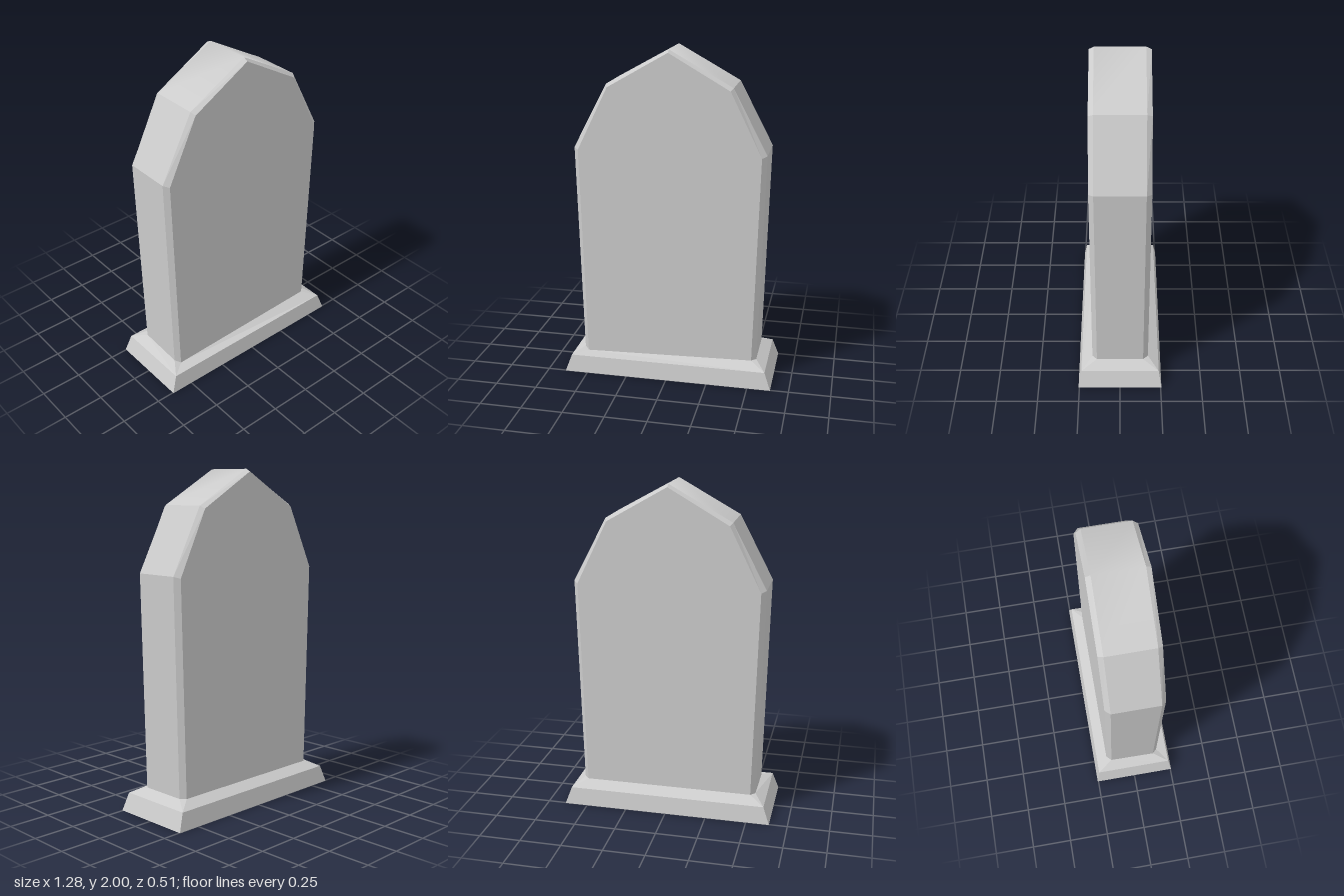
import * as THREE from 'three';
import { mergeVertices } from 'three/addons/utils/BufferGeometryUtils.js';

const material = new THREE.MeshStandardMaterial({ color: 0xcccccc, side: THREE.DoubleSide });

// Triangles joining two loops; a is the upper / front loop, both run counter-clockwise.
function loft(a, b, closed = false) {
  const tris = [];
  const count = closed ? a.length : a.length - 1;
  for (let i = 0; i < count; i++) {
    const j = (i + 1) % a.length;
    if (!b[i].equals(b[j])) tris.push([a[i], b[i], b[j]]);
    tris.push([a[i], b[j], a[j]]);
  }
  return tris;
}

// Triangles filling a convex loop.
function fan(loop) {
  return loop.slice(1, -1).map((p, i) => [loop[0], p, loop[i + 2]]);
}

function makeMesh(name, tris, smooth = false) {
  let geometry = new THREE.BufferGeometry().setFromPoints(tris.flat());
  if (smooth) geometry = mergeVertices(geometry);
  geometry.computeVertexNormals();
  const mesh = new THREE.Mesh(geometry, material);
  mesh.name = name;
  return mesh;
}

// Slab outline from lower right over the peak to lower left.
function outline(half, peak, z, leftFoot) {
  const right = half.map(([x, y]) => new THREE.Vector3(x, y, z));
  const left = half.map(([x, y], i) => new THREE.Vector3(-x, i ? y : leftFoot, z)).reverse();
  return [...right, new THREE.Vector3(0, peak, z), ...left];
}

// Rectangle with every corner doubled, to match the eight-sided slab foot.
function rectangle(x, y, z) {
  return [[1, 1], [1, -1], [-1, -1], [-1, 1]].flatMap(([sx, sz]) => {
    const p = new THREE.Vector3(sx * x, y, sz * z);
    return [p, p.clone()];
  });
}

export function createModel() {
  const group = new THREE.Group();
  group.name = 'gravestone';

  // Bevelled slab, open at the foot
  const outer = [[0.54, 0.145], [0.57, 1.415], [0.37, 1.795]];
  const inner = [[0.512, 0.145], [0.542, 1.405], [0.357, 1.78]];
  const front = outline(inner, 1.985, 0.17, 0.115);
  const frontRim = outline(outer, 2, 0.142, 0.13);
  const backRim = outline(outer, 2, -0.142, 0.145);
  const back = outline(inner, 1.985, -0.172, 0.145);

  group.add(makeMesh('slabFront', fan(front)));
  group.add(makeMesh('slabBack', fan([...back].reverse())));
  group.add(makeMesh('frontBevel', loft(front, frontRim)));
  group.add(makeMesh('backBevel', loft(backRim, back)));
  group.add(makeMesh('slabLeftSide', loft(frontRim.slice(0, 3), backRim.slice(0, 3))));
  group.add(makeMesh('slabRightSide', loft(frontRim.slice(4), backRim.slice(4))));
  group.add(makeMesh('slabTop', loft(frontRim.slice(2, 5), backRim.slice(2, 5)), true));

  // Hollow plinth: sloping shoulder around the slab foot, then a flared skirt
  const foot = [
    front[0], frontRim[0], backRim[0], back[0],
    back[6], backRim[6], frontRim[6], front[6],
  ];
  const plinthTop = rectangle(0.602, 0.105, 0.237);
  const plinthBottom = rectangle(0.64, 0, 0.255);
  group.add(makeMesh('plinthShoulder', loft(foot, plinthTop, true)));

  const corners = (loop) => loop.filter((_, i) => i % 2 === 0);
  group.add(makeMesh('plinthSkirt', loft(corners(plinthTop), corners(plinthBottom), true)));

  return group;
}
